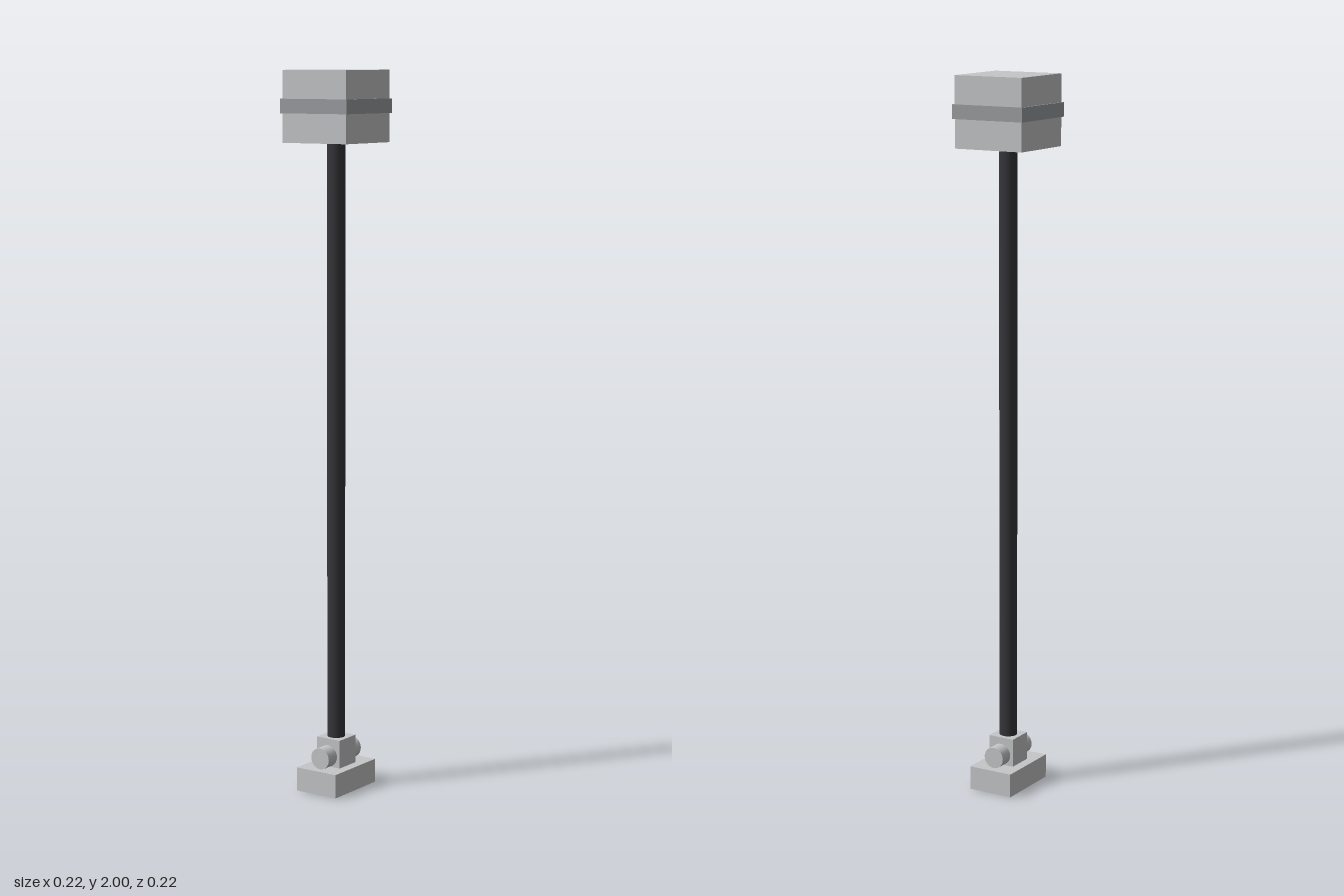
import * as THREE from 'three';

export function createModel() {
  const group = new THREE.Group();
  const material = (name, color) => {
    const m = new THREE.MeshStandardMaterial({ color });
    m.name = name;
    return m;
  };
  const paleGrey = material('paleGrey', 0xc5c6c8);
  const midGrey = material('midGrey', 0x9b9da0);
  const charcoal = material('charcoal', 0x36363b);

  const add = (name, geometry, mat, x, y, z) => {
    const mesh = new THREE.Mesh(geometry, mat);
    mesh.name = name;
    mesh.position.set(x, y, z);
    group.add(mesh);
    return mesh;
  };
  // Box given by its width, depth and bottom and top heights
  const slab = (name, w, d, y0, y1, mat) =>
    add(name, new THREE.BoxGeometry(w, y1 - y0, d), mat, 0, (y0 + y1) / 2, 0);

  // Foot and pivot block
  slab('footPlate', 0.196, 0.132, 0, 0.067, paleGrey);
  slab('pivotBlock', 0.078, 0.078, 0.067, 0.147, paleGrey);

  // Pivot pins on both sides of the block
  for (const [side, name] of [[1, 'leftPivotPin'], [-1, 'rightPivotPin']]) {
    const pin = add(name, new THREE.CylinderGeometry(0.03, 0.03, 0.042, 24), paleGrey, side * 0.058, 0.098, 0);
    pin.rotation.z = Math.PI / 2;
  }

  // Long shaft
  add('shaft', new THREE.CylinderGeometry(0.025, 0.025, 1.67, 20), charcoal, 0, 0.975, 0);

  // Square head with a raised band around its middle
  slab('head', 0.208, 0.208, 1.805, 2, paleGrey);
  slab('headBand', 0.218, 0.218, 1.884, 1.923, midGrey);

  return group;
}
